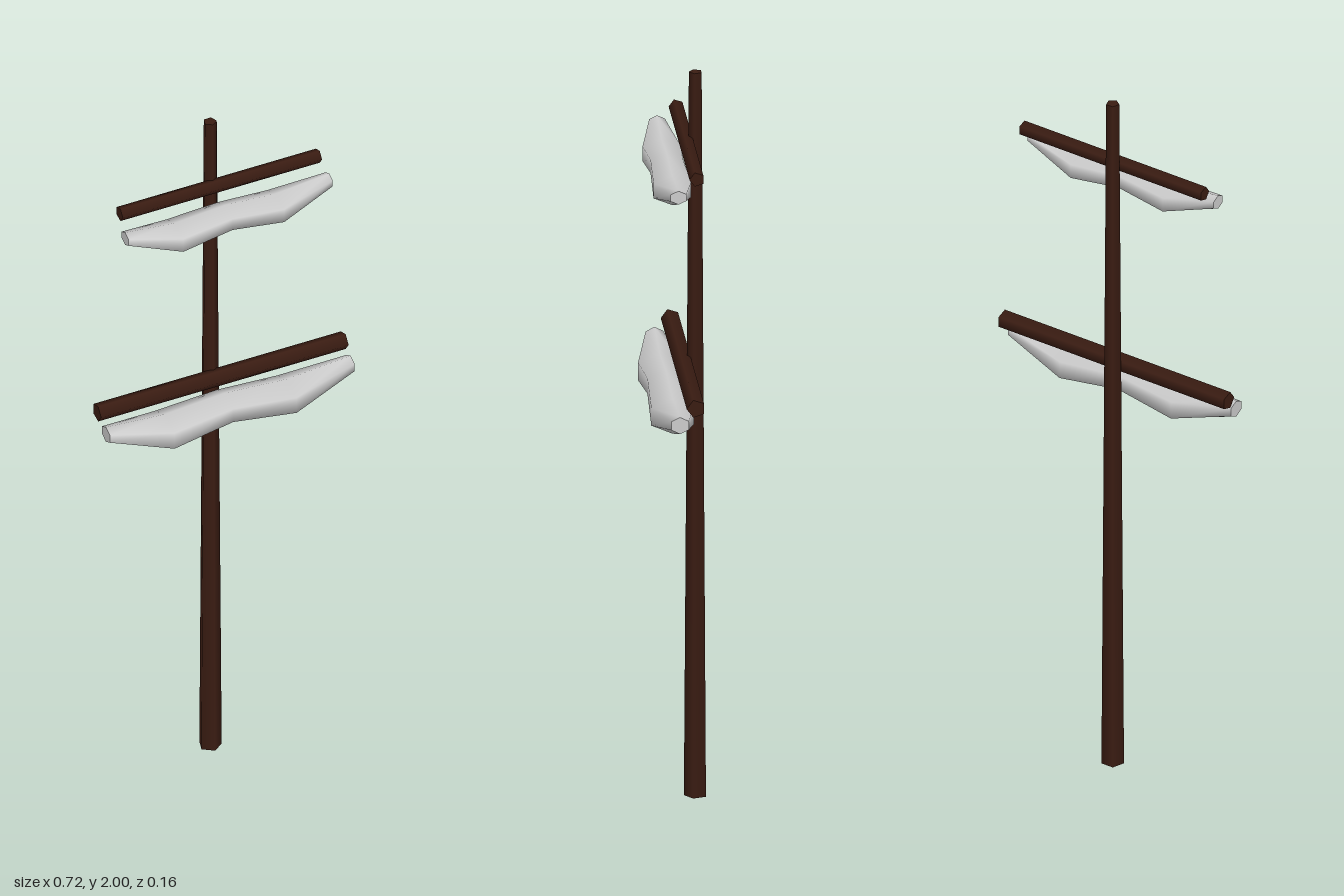
import * as THREE from 'three';

const wood = new THREE.MeshStandardMaterial({ color: 0x3a1c12 });
const cloth = new THREE.MeshStandardMaterial({ color: 0xcccccc });

// Furled sail: hexagonal sections [x, bottom, top, back, front] lofted along x
function sailGeometry(sections) {
  const sides = 6, pos = [], index = [];
  const addRing = ([x, bottom, top, back, front]) => {
    for (let j = 0; j < sides; j++) {
      const a = (j / sides) * Math.PI * 2;
      pos.push(
        x,
        (bottom + top) / 2 + ((top - bottom) / 2) * Math.cos(a),
        (back + front) / 2 + ((front - back) / 2 / Math.sin(Math.PI / 3)) * Math.sin(a)
      );
    }
  };
  sections.forEach(addRing);
  for (let i = 0; i < sections.length - 1; i++) {
    for (let j = 0; j < sides; j++) {
      const k = (j + 1) % sides;
      const a = i * sides + j, b = i * sides + k;
      index.push(a, b, a + sides, b, b + sides, a + sides);
    }
  }
  // End caps with their own vertices, so the rims stay crisp
  const start = sections.length * sides, end = start + sides;
  addRing(sections[0]);
  addRing(sections[sections.length - 1]);
  for (let j = 1; j < sides - 1; j++) {
    index.push(start, start + j + 1, start + j, end, end + j, end + j + 1);
  }
  const g = new THREE.BufferGeometry();
  g.setAttribute('position', new THREE.Float32BufferAttribute(pos, 3));
  g.setIndex(index);
  g.computeVertexNormals();
  return g;
}

export function createModel() {
  const model = new THREE.Group();
  const add = (name, geometry, material, x = 0, y = 0, z = 0) => {
    const mesh = new THREE.Mesh(geometry, material);
    mesh.name = name;
    mesh.position.set(x, y, z);
    model.add(mesh);
    return mesh;
  };

  // Tapered five-sided mast
  add('mast', new THREE.CylinderGeometry(0.018, 0.031, 2, 5), wood, -0.014, 1, -0.057);

  // Yards: five-sided spars across the front of the mast
  const addYard = (name, radius, length, y, z) => {
    add(name, new THREE.CylinderGeometry(radius, radius, length, 5), wood, 0, y, z).rotation.z = Math.PI / 2;
  };
  addYard('lowerYard', 0.025, 0.723, 1.199, -0.023);
  addYard('upperYard', 0.02, 0.582, 1.808, -0.032);

  // Furled sails hanging below the yards
  add('lowerSail', sailGeometry([
    [-0.356, 1.13, 1.177, -0.004, 0.042],
    [-0.185, 1.066, 1.165, -0.035, 0.078],
    [-0.01, 1.094, 1.177, -0.027, 0.07],
    [0.172, 1.066, 1.163, -0.035, 0.077],
    [0.359, 1.13, 1.176, -0.004, 0.042],
  ]), cloth);
  add('upperSail', sailGeometry([
    [-0.299, 1.743, 1.782, -0.003, 0.038],
    [-0.155, 1.687, 1.768, -0.03, 0.069],
    [-0.008, 1.708, 1.778, -0.023, 0.062],
    [0.14, 1.687, 1.767, -0.03, 0.068],
    [0.297, 1.743, 1.78, -0.003, 0.038],
  ]), cloth);

  return model;
}
